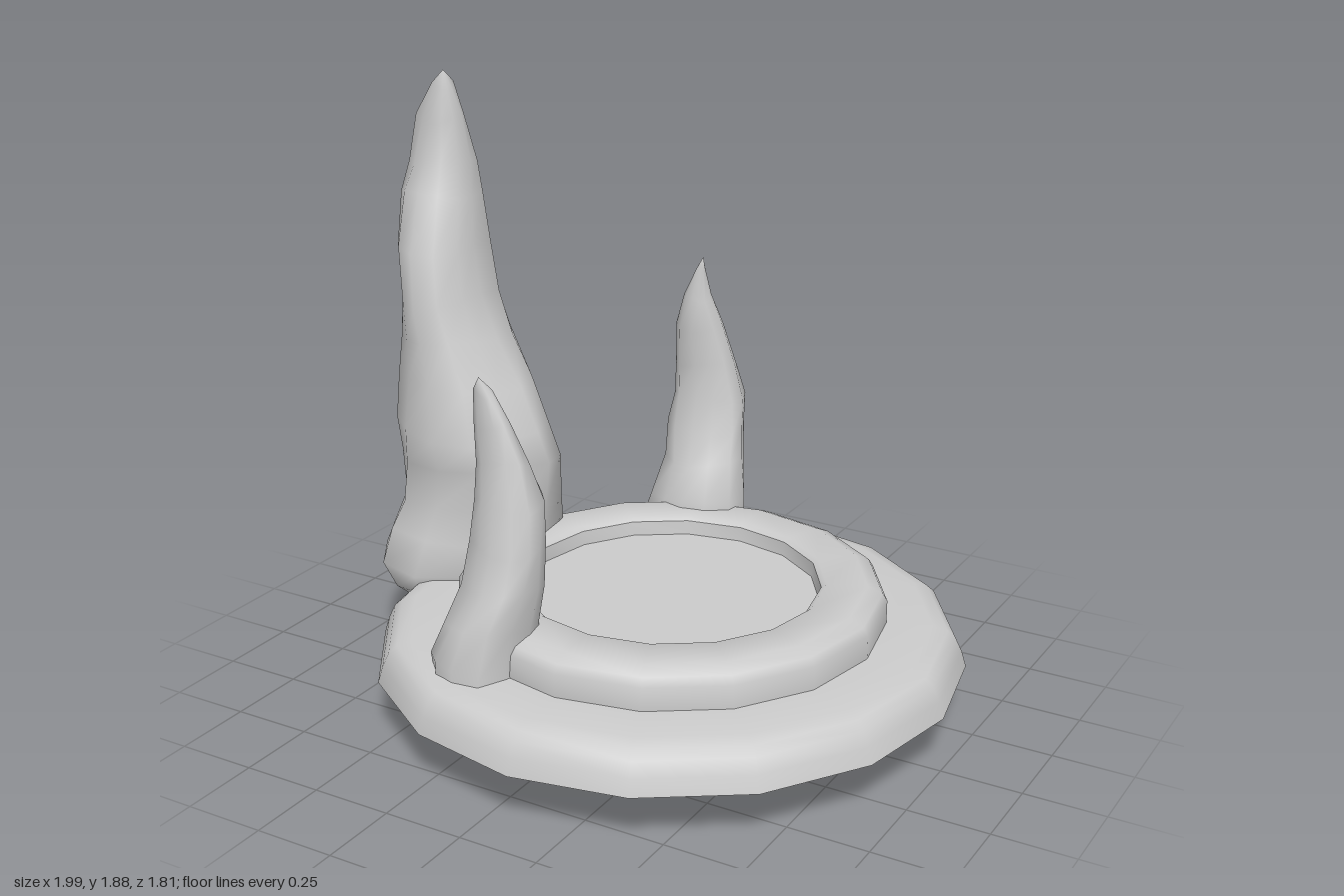
import * as THREE from 'three';
import { toCreasedNormals } from 'three/addons/utils/BufferGeometryUtils.js';

const SIDES = 12;

// Each ring: [y, xMin, xMax, zMin, zMax]; first and last rings collapse to poles.
const ROCKS = {
  largeSpire: {
    seed: 1.3,
    rings: [
      [0.05, -0.68, -0.68, -0.06, -0.06],
      [0.08, -0.82, -0.6, -0.15, 0.04],
      [0.16, -0.87, -0.54, -0.26, 0.12],
      [0.24, -0.95, -0.48, -0.32, 0.19],
      [0.32, -1.0, -0.43, -0.36, 0.22],
      [0.42, -0.975, -0.41, -0.33, 0.185],
      [0.52, -0.94, -0.4, -0.29, 0.15],
      [0.67, -0.93, -0.37, -0.25, 0.16],
      [0.77, -0.92, -0.4, -0.24, 0.18],
      [0.92, -0.91, -0.46, -0.23, 0.15],
      [1.06, -0.89, -0.54, -0.23, 0.145],
      [1.18, -0.885, -0.6, -0.235, 0.135],
      [1.34, -0.9, -0.62, -0.21, 0.115],
      [1.5, -0.915, -0.65, -0.205, 0.04],
      [1.6, -0.89, -0.67, -0.205, 0.0],
      [1.73, -0.85, -0.69, -0.15, -0.02],
      [1.83, -0.78, -0.715, -0.1, -0.035],
      [1.88, -0.74, -0.74, -0.06, -0.06],
    ],
  },
  frontSpire: {
    seed: 3.1,
    rings: [
      [0.0, -0.2, -0.2, 0.56, 0.56],
      [0.03, -0.28, -0.15, 0.5, 0.62],
      [0.12, -0.335, -0.08, 0.44, 0.73],
      [0.2, -0.35, -0.05, 0.42, 0.74],
      [0.32, -0.37, -0.05, 0.41, 0.73],
      [0.44, -0.315, -0.04, 0.42, 0.71],
      [0.55, -0.27, -0.02, 0.43, 0.66],
      [0.67, -0.25, -0.015, 0.44, 0.63],
      [0.8, -0.245, -0.03, 0.43, 0.605],
      [0.92, -0.24, -0.07, 0.46, 0.58],
      [1.03, -0.235, -0.12, 0.495, 0.575],
      [1.12, -0.225, -0.165, 0.53, 0.57],
      [1.17, -0.2, -0.2, 0.565, 0.565],
    ],
  },
  backSpire: {
    seed: 5.2,
    rings: [
      [0.08, -0.12, -0.12, -0.64, -0.64],
      [0.1, -0.2, -0.06, -0.7, -0.55],
      [0.2, -0.3, -0.02, -0.74, -0.51],
      [0.32, -0.335, 0.02, -0.77, -0.48],
      [0.43, -0.3, 0.02, -0.785, -0.475],
      [0.55, -0.275, -0.01, -0.81, -0.53],
      [0.65, -0.29, -0.02, -0.8, -0.575],
      [0.76, -0.275, -0.03, -0.815, -0.595],
      [0.87, -0.27, -0.06, -0.79, -0.605],
      [1.0, -0.25, -0.09, -0.735, -0.59],
      [1.1, -0.215, -0.125, -0.69, -0.6],
      [1.2, -0.17, -0.14, -0.65, -0.615],
      [1.24, -0.145, -0.145, -0.63, -0.63],
    ],
  },
};

// Skin lumpy cross-sections into a smooth rock
function rockGeometry({ rings, seed }) {
  const positions = [];
  const indices = [];
  const last = rings.length - 1;
  rings.forEach(([y, x0, x1, z0, z1], i) => {
    for (let j = 0; j < SIDES; j++) {
      const a = (j / SIDES) * Math.PI * 2;
      const lump = 0.98 + 0.07 * Math.sin(3 * a + seed + i * 0.25) + 0.04 * Math.sin(5 * a + seed * 2 - i * 0.9);
      const c = THREE.MathUtils.clamp(Math.cos(a) * lump, -1, 1);
      const s = THREE.MathUtils.clamp(Math.sin(a) * lump, -1, 1);
      const dy = i > 0 && i < last ? 0.012 * Math.sin(2 * a + i * 1.7 + seed) : 0;
      positions.push((x0 + x1) / 2 + (c * (x1 - x0)) / 2, y + dy, (z0 + z1) / 2 + (s * (z1 - z0)) / 2);
    }
  });
  const at = (i, j) => i * SIDES + (i === 0 || i === last ? 0 : j % SIDES);
  for (let i = 0; i < last; i++) {
    for (let j = 0; j < SIDES; j++) {
      const a = at(i, j), b = at(i, j + 1), c = at(i + 1, j), d = at(i + 1, j + 1);
      if (a !== b) indices.push(a, c, b);
      if (c !== d) indices.push(b, c, d);
    }
  }
  const geometry = new THREE.BufferGeometry();
  geometry.setAttribute('position', new THREE.Float32BufferAttribute(positions, 3));
  geometry.setIndex(indices);
  geometry.computeVertexNormals();
  return geometry;
}

export function createModel() {
  const group = new THREE.Group();
  const grey = new THREE.MeshStandardMaterial({ color: 0xcccccc });
  const shell = new THREE.MeshStandardMaterial({ color: 0xcccccc, side: THREE.DoubleSide });

  // Hollow two-step platform with a sunken floor, open underneath
  const profile = [
    [0.905, 0.17], [0.89, 0.22], [0.87, 0.262], [0.845, 0.285], [0.8, 0.298],
    [0.66, 0.3], [0.66, 0.372], [0.645, 0.397], [0.6, 0.417],
    [0.475, 0.417], [0.46, 0.405], [0.455, 0.36], [0, 0.36],
  ].map(([r, y]) => new THREE.Vector2(r, y));
  const platform = new THREE.Mesh(toCreasedNormals(new THREE.LatheGeometry(profile, 16), 0.7), shell);
  platform.name = 'platform';
  platform.position.x = 0.095;
  group.add(platform);

  // Rock spires piercing the rim
  for (const [name, rock] of Object.entries(ROCKS)) {
    const mesh = new THREE.Mesh(rockGeometry(rock), grey);
    mesh.name = name;
    group.add(mesh);
  }
  return group;
}
